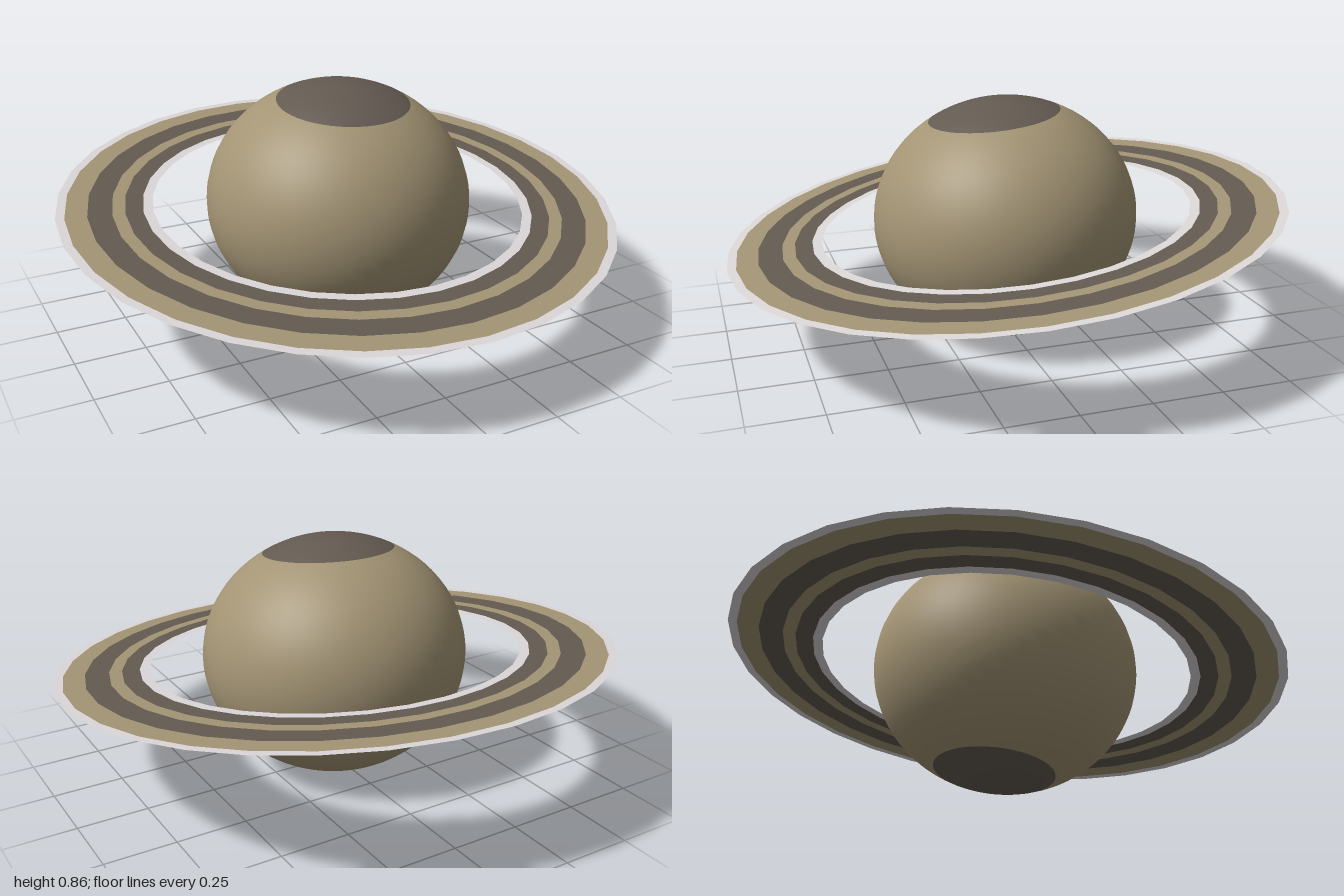
import * as THREE from 'three';

const TILT = 0.108;      // lean of the spin axis towards the front
const CENTRE_Y = 0.43;
const RADIUS = 0.474;    // equator
const POLAR = 0.4295;    // centre to pole

function material(name, color, side = THREE.FrontSide) {
  const m = new THREE.MeshStandardMaterial({ color, side });
  m.name = name;
  return m;
}

export function createModel() {
  const sand = material('sand', 0xa39474, THREE.DoubleSide);
  const umber = material('umber', 0x635a51, THREE.DoubleSide);
  const ice = material('ice', 0xdcd7d8, THREE.DoubleSide);

  const model = new THREE.Group();
  model.name = 'ringedPlanet';
  model.position.y = CENTRE_Y;
  model.rotation.x = TILT;

  // Flattened globe, split by latitude into two polar caps and the main body
  const northEdge = Math.asin(0.234 / RADIUS);
  const southEdge = Math.PI - Math.asin(0.214 / RADIUS);
  const zones = [
    ['northCap', 0, northEdge, 8, umber],
    ['globe', northEdge, southEdge, 28, sand],
    ['southCap', southEdge, Math.PI, 8, umber],
  ];
  for (const [name, from, to, rows, mat] of zones) {
    const zone = new THREE.Mesh(
      new THREE.SphereGeometry(RADIUS, 48, rows, 0, Math.PI * 2, from, to - from), mat);
    zone.name = name;
    zone.scale.y = POLAR / RADIUS;
    model.add(zone);
  }

  // Flat ring system: concentric bands from the inside out
  const rings = new THREE.Group();
  rings.name = 'rings';
  rings.rotation.x = -Math.PI / 2;
  const edges = [0.665, 0.699, 0.761, 0.806, 0.89, 0.966, 0.997];
  const colours = [ice, umber, sand, umber, sand, ice];
  colours.forEach((mat, i) => {
    const band = new THREE.Mesh(new THREE.RingGeometry(edges[i], edges[i + 1], 32), mat);
    band.name = `ringBand${i + 1}`;
    rings.add(band);
  });
  model.add(rings);

  const root = new THREE.Group();
  root.name = 'model';
  root.add(model);
  return root;
}
